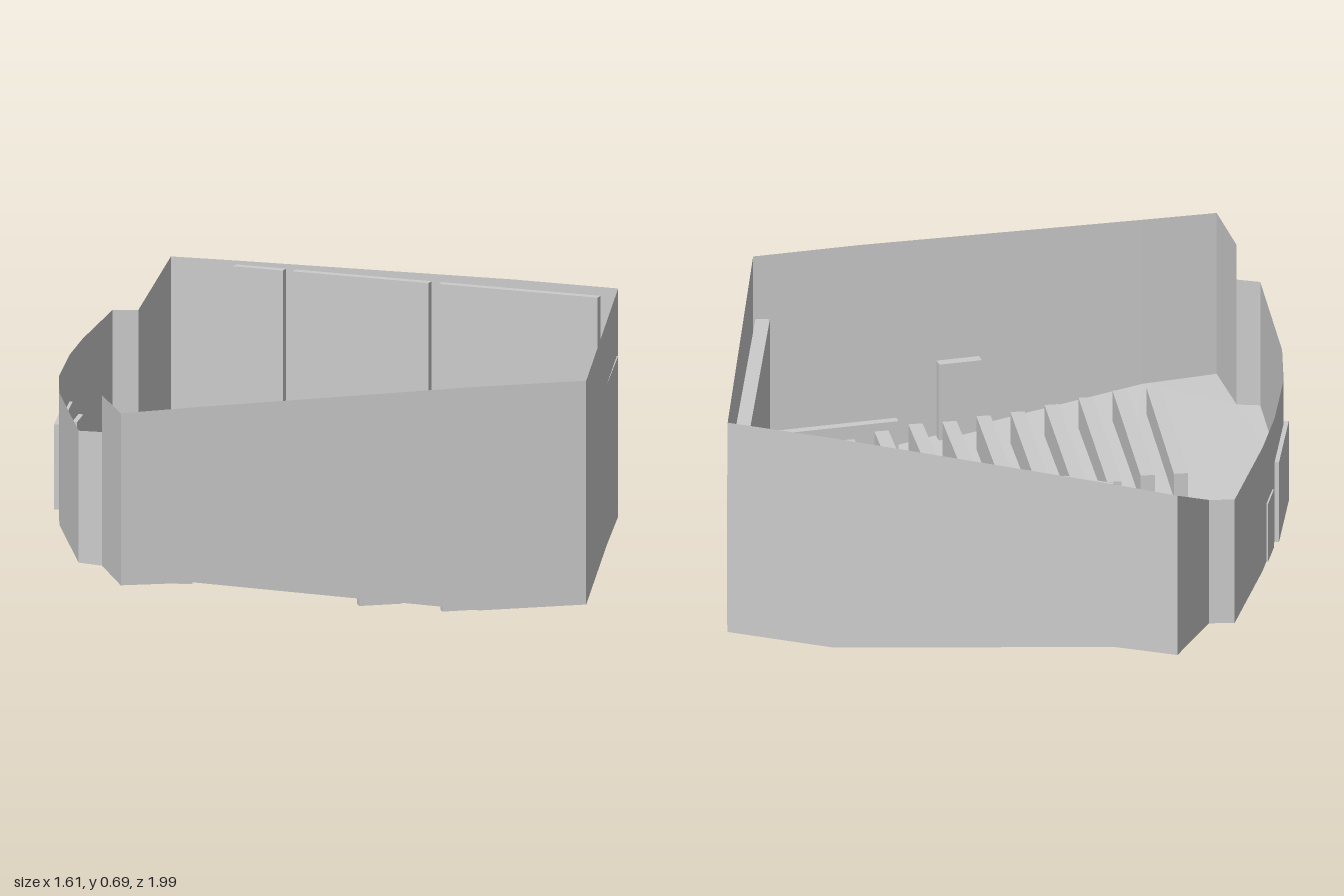
import * as THREE from 'three';

const mat = new THREE.MeshStandardMaterial({ color: 0xcccccc, flatShading: true, side: THREE.DoubleSide });

// Wall corners, in order around the room: x, z, floor height, wall top
const corners = [
  [-0.40, -0.95, 0.155, 0.675], [0.44, -0.74, 0.02, 0.69], [0.76, -0.66, 0.02, 0.69],
  [0.80, 0.51, 0.02, 0.69], [0.50, 0.62, 0.02, 0.69], [-0.30, 0.91, 0.15, 0.675],
  [-0.51, 0.99, 0.155, 0.67], [-0.59, 0.77, 0.16, 0.67], [-0.59, 0.77, 0.16, 0.56],
  [-0.66, 0.76, 0.165, 0.56], [-0.77, 0.29, 0.165, 0.56], [-0.795, 0.08, 0.165, 0.56],
  [-0.795, -0.19, 0.165, 0.56], [-0.78, -0.40, 0.165, 0.56], [-0.735, -0.77, 0.165, 0.56],
  [-0.66, -0.78, 0.165, 0.56], [-0.59, -1.00, 0.16, 0.67],
];

function sheet(name, positions) {
  const g = new THREE.BufferGeometry();
  g.setAttribute('position', new THREE.Float32BufferAttribute(positions, 3));
  g.computeVertexNormals();
  const m = new THREE.Mesh(g, mat);
  m.name = name;
  return m;
}

// Upright box whose centre line runs from (ax, az) to (bx, bz)
function slab(name, [ax, az], [bx, bz], width, y0, y1) {
  const m = new THREE.Mesh(new THREE.BoxGeometry(Math.hypot(bx - ax, bz - az), y1 - y0, width), mat);
  m.position.set((ax + bx) / 2, (y0 + y1) / 2, (az + bz) / 2);
  m.rotation.y = -Math.atan2(bz - az, bx - ax);
  m.name = name;
  return m;
}

function buildWalls() {
  const p = [];
  corners.forEach(([ax, az, a0, a1], i) => {
    const [bx, bz, b0, b1] = corners[(i + 1) % corners.length];
    p.push(ax, a0, az, ax, a1, az, bx, b1, bz, ax, a0, az, bx, b1, bz, bx, b0, bz);
  });
  return sheet('walls', p);
}

// Floor: rear landing, raked middle and level stage, each its own polygon
function buildFloor() {
  const p = [];
  const regions = [[5, 6, 7, 9, 10, 11, 12, 13, 14, 15, 16, 0], [0, 1, 4, 5], [1, 2, 3, 4]];
  for (const region of regions) {
    const pts = region.map((i) => new THREE.Vector2(corners[i][0], corners[i][1]));
    for (const tri of THREE.ShapeUtils.triangulateShape(pts, [])) {
      const [a, b, c] = tri.map((k) => corners[region[k]]);
      const up = (b[1] - a[1]) * (c[0] - a[0]) - (b[0] - a[0]) * (c[1] - a[1]) > 0;
      for (const v of up ? [a, b, c] : [a, c, b]) p.push(v[0], v[2], v[1]);
    }
  }
  return sheet('floor', p);
}

// Ten stepped bench rows: rows 6 and 7 run across the aisle as a V
function buildBenches() {
  const g = new THREE.Group();
  g.name = 'benchRows';
  const bottoms = [0.095, 0.095, 0.08, 0.065, 0.05, 0.08, 0.07, 0.035, 0.02, 0];
  bottoms.forEach((y0, i) => {
    const k = i - 7;
    const leftOuter = [-0.354 + 0.097 * i, 0.70 - 0.027 * i];
    const rightOuter = [-0.392 + 0.0924 * i, -0.82 + 0.0206 * i];
    let leftInner = [-0.492 + 0.0955 * i, 0.108 - 0.022 * i];
    let rightInner = [-0.508 + 0.0985 * i, -0.222 + 0.0105 * i];
    let top = y0 + 0.14;
    if (i === 5 || i === 6) {
      leftInner = rightInner = [-0.03 + 0.094 * (i - 5), -0.064];
      top = y0 + 0.105;
    } else if (k >= 0) {
      leftInner = [0.206 + 0.0955 * k, 0.088 - 0.033 * k];
      rightInner = [0.19 + 0.105 * k, -0.21 + 0.018 * k];
    }
    g.add(slab('leftBench', leftInner, leftOuter, 0.042, y0, top));
    g.add(slab('rightBench', rightInner, rightOuter, 0.042, y0, top));
  });
  return g;
}

export function createModel() {
  const room = new THREE.Group();
  room.name = 'lectureHall';
  room.add(buildWalls(), buildFloor(), buildBenches());

  // Tall panels along the right side wall
  const onRight = (x) => [x + 0.005, -0.95 + (x + 0.4) * 0.25 + 0.02];
  for (const [a, b] of [[-0.40, -0.25], [-0.22, 0.19], [0.22, 0.70]]) {
    const low = 0.17 - 0.15 * Math.max(0, (a + 0.4) / 0.84);
    room.add(slab('wallPanel', onRight(a), onRight(b), 0.025, low, 0.665));
  }

  // Door and low cabinet on the left side wall
  const onLeft = (x, d) => [x, 0.51 + (0.8 - x) * 0.366 - d];
  room.add(slab('sideDoor', onLeft(0.155, 0.03), onLeft(0.275, 0.03), 0.03, 0.05, 0.30));
  room.add(slab('lowCabinet', onLeft(0.39, 0.025), onLeft(0.77, 0.025), 0.025, 0.02, 0.13));

  // Rear doors
  room.add(slab('rearDoor', [-0.797, -0.19], [-0.797, 0.10], 0.022, 0.165, 0.42));
  room.add(slab('smallRearDoor', [-0.78, -0.33], [-0.787, -0.23], 0.02, 0.165, 0.35));
  room.add(slab('smallRearDoor', [-0.777, 0.14], [-0.767, 0.24], 0.02, 0.165, 0.35));

  // Board standing against the stage wall
  room.add(slab('stageBoard', [0.745, -0.61], [0.77, 0.49], 0.042, 0.02, 0.50));

  // Speaker's desk on the stage
  const desk = new THREE.Group();
  desk.name = 'speakerDesk';
  desk.add(slab('deskRight', [0.575, -0.34], [0.58, -0.08], 0.092, 0.02, 0.18));
  desk.add(slab('deskLeft', [0.59, -0.08], [0.595, 0.215], 0.085, 0.02, 0.18));
  desk.add(slab('deskTopBox', [0.572, -0.14], [0.572, -0.08], 0.05, 0.18, 0.22));
  const bow = new THREE.Mesh(new THREE.CylinderGeometry(0.09, 0.09, 0.16, 16, 1, false, Math.PI * 1.25, Math.PI / 2), mat);
  bow.scale.x = 0.5;
  bow.position.set(0.572, 0.10, -0.12);
  bow.name = 'deskBow';
  desk.add(bow);
  room.add(desk);

  return room;
}
